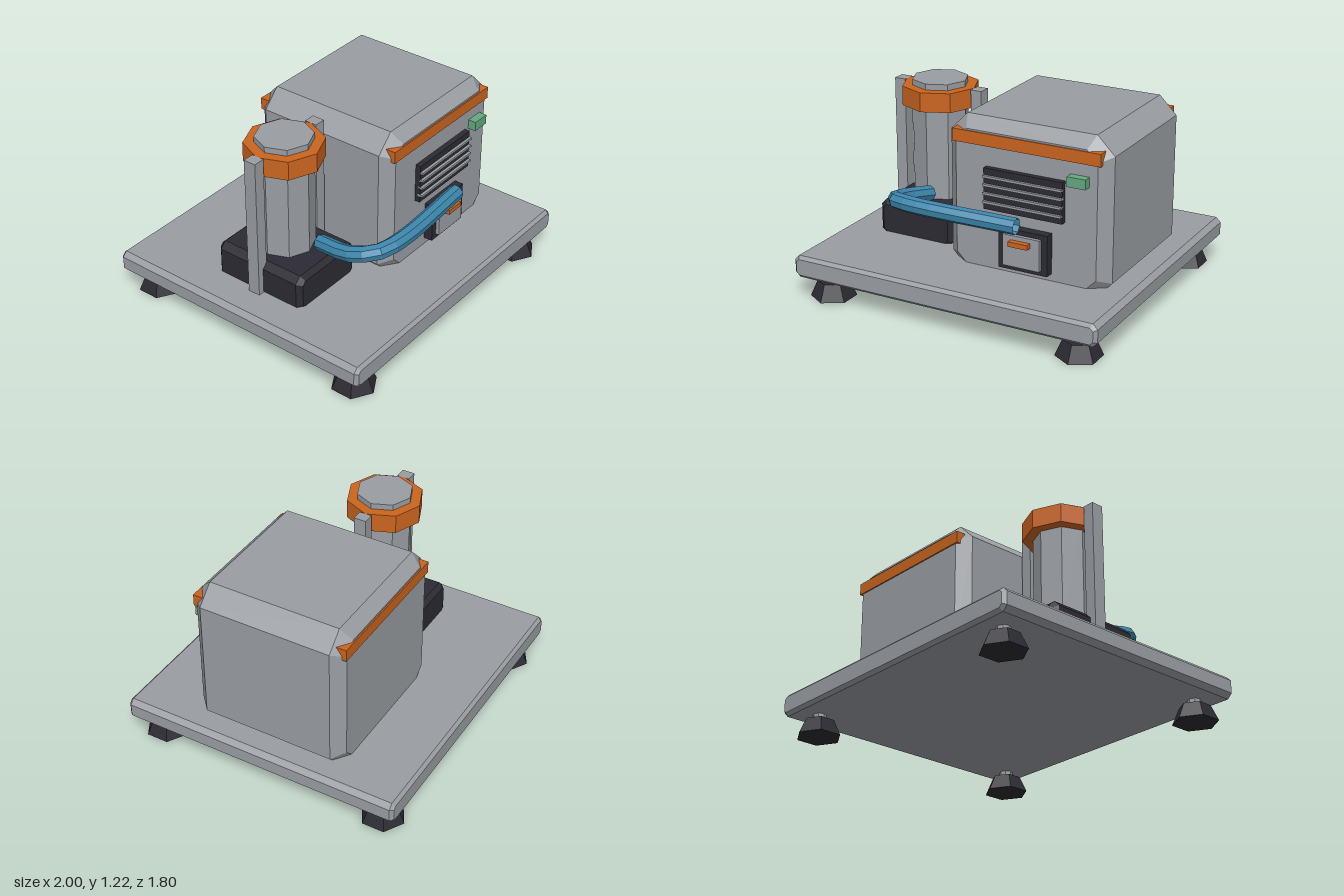
import * as THREE from 'three';

const material = (name, color, extra = {}) => {
  const m = new THREE.MeshStandardMaterial({ color, ...extra });
  m.name = name;
  return m;
};

// Box with chamfered edges: octagonal front profile (cut c), front and back edges cut by b
function chamferBox(x0, x1, y0, y1, z0, z1, c, b) {
  const shape = new THREE.Shape([
    [x0 + c, y0], [x1 - c, y0], [x1, y0 + c], [x1, y1 - c],
    [x1 - c, y1], [x0 + c, y1], [x0, y1 - c], [x0, y0 + c],
  ].map(([x, y]) => new THREE.Vector2(x, y)));
  const geometry = new THREE.ExtrudeGeometry(shape, {
    depth: z1 - z0 - 2 * b, bevelEnabled: true, bevelSegments: 1,
    bevelThickness: b, bevelSize: b, bevelOffset: -b,
  });
  return geometry.translate(0, 0, z0 + b);
}

// Plain box given by its limits
function box(x0, x1, y0, y1, z0, z1) {
  return new THREE.BoxGeometry(x1 - x0, y1 - y0, z1 - z0)
    .translate((x0 + x1) / 2, (y0 + y1) / 2, (z0 + z1) / 2);
}

// Upright cylinder or cone from y0 to y1, always faceted
function post(rTop, rBottom, y0, y1, sides) {
  return new THREE.CylinderGeometry(rTop, rBottom, y1 - y0, sides).translate(0, (y0 + y1) / 2, 0);
}

export function createModel() {
  const model = new THREE.Group();
  model.name = 'pumpUnit';
  const grey = material('grey metal', 0x9a9ea3, { flatShading: true });
  const dark = material('dark rubber', 0x2c2b33, { flatShading: true });
  const orange = material('orange paint', 0xcb651f, { flatShading: true });
  const blue = material('blue hose', 0x3d87ad, { side: THREE.DoubleSide, flatShading: true });
  const green = material('green lamp', 0x64a981, { flatShading: true });

  const add = (name, geometry, mat, x = 0, z = 0) => {
    const mesh = new THREE.Mesh(geometry, mat);
    mesh.name = name;
    mesh.position.set(x, 0, z);
    model.add(mesh);
    return mesh;
  };

  // Base plate on four hexagonal feet
  add('basePlate', chamferBox(-1, 1, 0.14, 0.28, -0.9, 0.9, 0.03, 0.02), grey);
  for (const x of [-0.825, 0.825]) {
    for (const z of [-0.748, 0.748]) {
      add('foot', post(0.094, 0.139, 0, 0.1, 6), dark, x, z);
      add('footStem', post(0.042, 0.042, 0.09, 0.16, 8), grey, x, z);
    }
  }

  // Housing with a trim strip at front and back
  add('housing', chamferBox(-0.18, 0.865, 0.2, 1.18, -0.49, 0.49, 0.11, 0.07), grey);
  add('frontTrim', box(-0.13, 0.815, 1.025, 1.1, 0.4, 0.498), orange);
  add('backTrim', box(-0.13, 0.815, 1.025, 1.1, -0.498, -0.4), orange);

  // Vent with slats
  add('ventPanel', box(0.09, 0.595, 0.655, 0.905, 0.48, 0.525), dark);
  for (let i = 0; i < 4; i++) {
    const y = 0.702 + i * 0.052;
    add('ventSlat', box(0.09, 0.595, y - 0.007, y + 0.007, 0.51, 0.542), grey);
  }

  // Lamp and access hatch
  add('lamp', box(0.63, 0.745, 0.893, 0.953, 0.48, 0.542), green);
  add('hatchFrame', box(0.2, 0.515, 0.325, 0.575, 0.48, 0.547), dark);
  add('hatchDoor', box(0.24, 0.475, 0.355, 0.547, 0.53, 0.57), grey);
  add('hatchHandle', box(0.292, 0.417, 0.49, 0.52, 0.56, 0.605), orange);

  // Tank on its dark block, with a collar and two side brackets
  const tankX = -0.508;
  add('tankBlock', chamferBox(-0.77, -0.255, 0.245, 0.485, -0.313, 0.313, 0.04, 0.03), dark);
  add('tank', post(0.173, 0.173, 0.44, 1.217, 8), grey, tankX);
  add('tankCollar', post(0.237, 0.237, 1.06, 1.18, 8), orange, tankX);
  for (const side of [-1, 1]) {
    add('tankBracket', box(-0.036, 0.036, 0.26, 1.18, -0.04, 0.04), grey, -0.505 + side * 0.268);
  }

  // Hose from the tank round to the hatch
  const path = new THREE.CatmullRomCurve3([
    [-0.465, 0.545, 0.22], [-0.505, 0.6, 0.48], [-0.44, 0.64, 0.62],
    [-0.27, 0.645, 0.655], [0.35, 0.625, 0.608],
  ].map((p) => new THREE.Vector3(...p)));
  add('hose', new THREE.TubeGeometry(path, 14, 0.05, 8), blue);

  return model;
}
